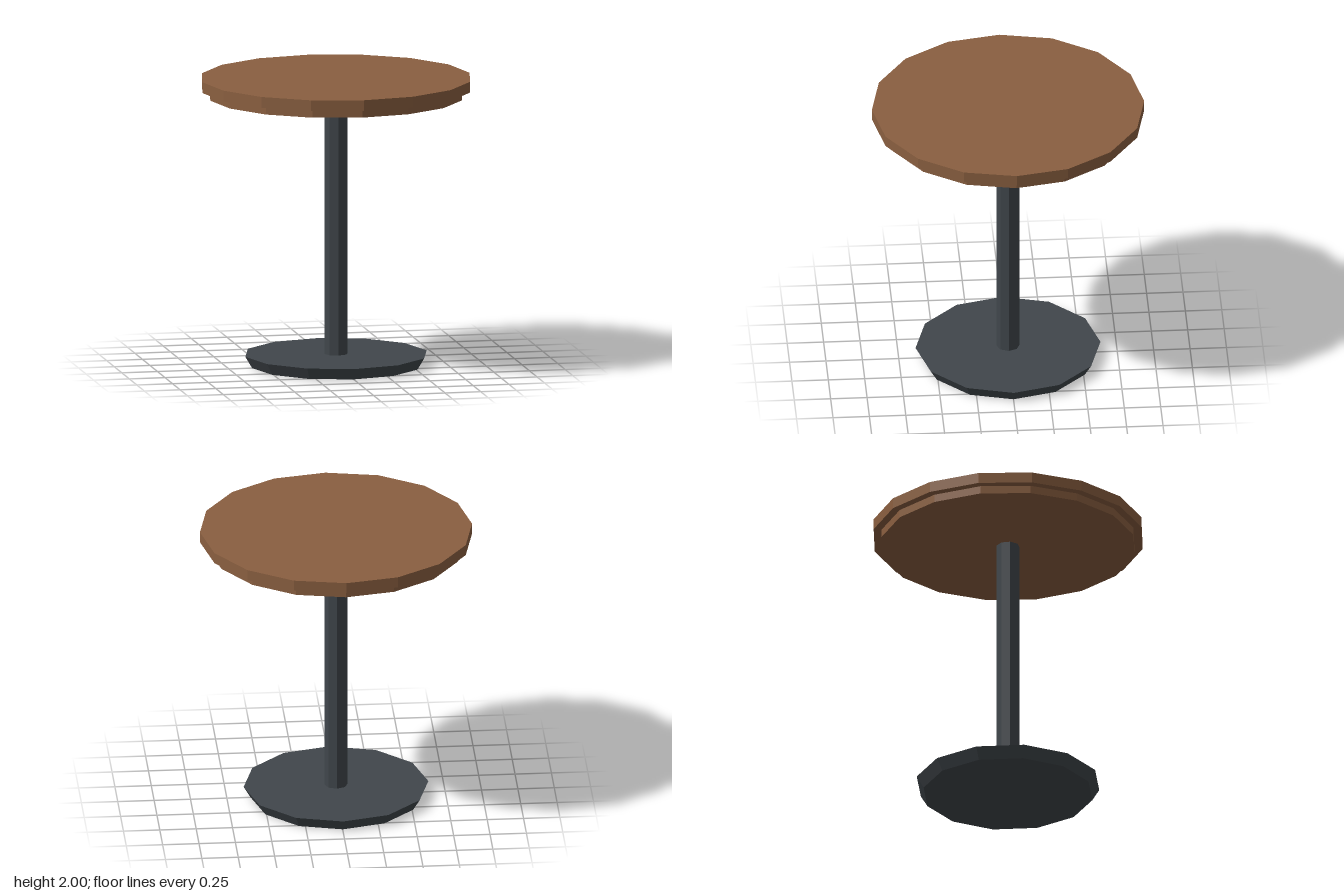
import * as THREE from 'three';

export function createModel() {
  const table = new THREE.Group();
  table.name = 'pedestalTable';

  const wood = new THREE.MeshStandardMaterial({ color: 0x8a5f40, flatShading: true });
  wood.name = 'brown wood';
  const metal = new THREE.MeshStandardMaterial({ color: 0x40464b, flatShading: true });
  metal.name = 'dark metal';

  // Faceted disc or post standing between two heights
  function drum(name, material, topRadius, bottomRadius, y0, y1, sides) {
    const geometry = new THREE.CylinderGeometry(topRadius, bottomRadius, y1 - y0, sides);
    const mesh = new THREE.Mesh(geometry, material);
    mesh.name = name;
    mesh.position.y = (y0 + y1) / 2;
    table.add(mesh);
  }

  // Round top with a recessed rim beneath it
  drum('tabletop', wood, 0.935, 0.935, 1.925, 2, 16);
  drum('tabletopRim', wood, 0.88, 0.88, 1.87, 1.925, 16);

  // Central post on a foot plate that narrows towards the floor
  drum('post', metal, 0.08, 0.08, 0.08, 1.87, 8);
  drum('footPlate', metal, 0.635, 0.587, 0, 0.08, 12);

  return table;
}
